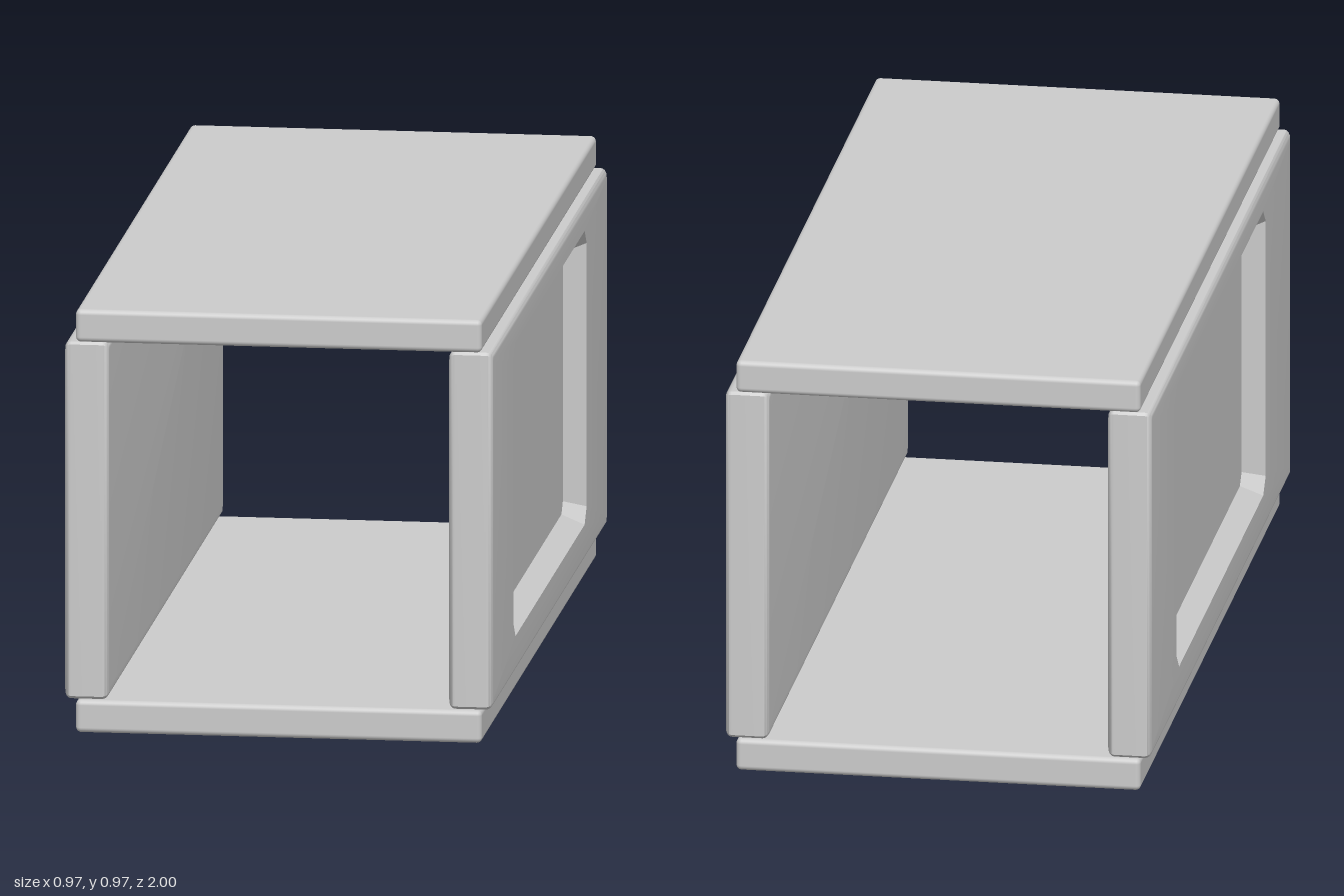
import * as THREE from 'three';
import { toCreasedNormals } from 'three/addons/utils/BufferGeometryUtils.js';
import { RoundedBoxGeometry } from 'three/addons/geometries/RoundedBoxGeometry.js';

const material = new THREE.MeshStandardMaterial({ color: 0xcccccc });

// Rectangle with cut corners in the y-z plane, counterclockwise seen from +x
function ring(x, cy, hy, hz, cut) {
  return [
    [hz, cut - hy], [hz, hy - cut], [hz - cut, hy], [cut - hz, hy],
    [-hz, hy - cut], [-hz, cut - hy], [cut - hz, -hy], [hz - cut, -hy],
  ].map(([u, y]) => [x, cy + y, -u]);
}

// Joins successive rings with quads and closes both ends
function loft(rings) {
  const pos = [];
  const n = rings[0].length;
  const tri = (a, b, c) => pos.push(...a, ...b, ...c);
  for (let k = 0; k < rings.length - 1; k++) {
    for (let i = 0; i < n; i++) {
      const j = (i + 1) % n, p = rings[k], q = rings[k + 1];
      tri(p[i], p[j], q[j]);
      tri(p[i], q[j], q[i]);
    }
  }
  const first = rings[0], last = rings[rings.length - 1];
  for (let i = 1; i < n - 1; i++) {
    tri(first[0], first[i + 1], first[i]);
    tri(last[0], last[i], last[i + 1]);
  }
  const geometry = new THREE.BufferGeometry();
  geometry.setAttribute('position', new THREE.Float32BufferAttribute(pos, 3));
  return toCreasedNormals(geometry, 0.65);
}

// Side panel: rounded slab with a bevelled recess in its outer face
function sideGeometry() {
  const x0 = 0.385, x1 = 0.485, cy = 0.49, hy = 0.41, hz = 1, r = 0.015, steps = 4;
  const slab = (x, inset) => ring(x, cy, hy - inset, hz - inset, 0.006);
  const rings = [slab(x0, r + 0.004)];
  for (let i = 0; i <= steps; i++) {
    const a = (i / steps) * Math.PI / 2;
    rings.push(slab(x0 + r * (1 - Math.cos(a)), r * (1 - Math.sin(a))));
  }
  rings.push(slab(x0 + r + 0.004, 0), slab(x1 - r - 0.004, 0));
  for (let i = 0; i <= steps; i++) {
    const a = (i / steps) * Math.PI / 2;
    rings.push(slab(x1 - r * (1 - Math.sin(a)), r * (1 - Math.cos(a))));
  }
  rings.push(slab(x1, r + 0.004));
  // Recess rim and floor
  rings.push(ring(x1, 0.5025, 0.3375, 0.635, 0.035));
  rings.push(ring(x1 - 0.05, 0.5025, 0.311, 0.605, 0.025));
  return loft(rings);
}

export function createModel() {
  const model = new THREE.Group();
  model.name = 'openBox';
  const add = (name, geometry) => {
    const mesh = new THREE.Mesh(geometry, material);
    mesh.name = name;
    model.add(mesh);
    return mesh;
  };

  // Top and bottom boards
  const board = new RoundedBoxGeometry(0.92, 0.075, 2, 3, 0.012);
  add('bottomBoard', board).position.y = 0.0395;
  add('topBoard', board).position.y = 0.9365;

  // Mirrored side panels
  const side = sideGeometry();
  add('leftPanel', side);
  add('rightPanel', side).rotation.y = Math.PI;

  return model;
}
